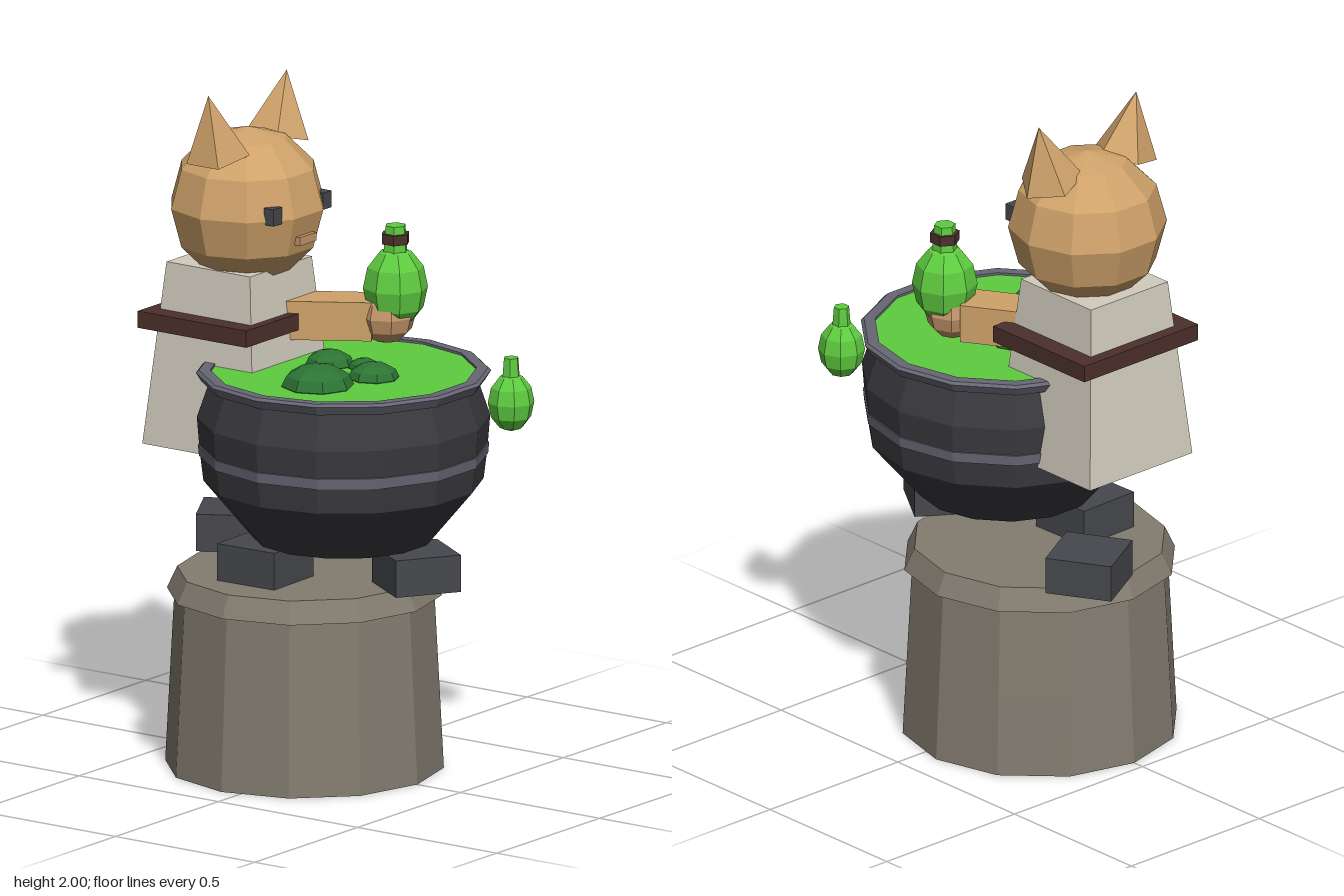
import * as THREE from 'three';

const mat = (name, color) => {
  const m = new THREE.MeshStandardMaterial({ color, flatShading: true });
  m.name = name;
  return m;
};

export function createModel() {
  const stone = mat('stone', 0x837c70);
  const iron = mat('dark iron', 0x3a393e);
  const steel = mat('rim grey', 0x666773);
  const slate = mat('slate', 0x47484d);
  const green = mat('bright green', 0x5fcc40);
  const leaf = mat('dark green', 0x2d7534);
  const fur = mat('fur', 0xcfa26a);
  const skin = mat('paw', 0xc4966a);
  const cloth = mat('cloth', 0xd2ccbe);
  const brown = mat('brown', 0x4c302b);

  const model = new THREE.Group();
  const add = (name, geo, material, x = 0, y = 0, z = 0, parent = model) => {
    const mesh = new THREE.Mesh(geo, material);
    mesh.name = name;
    mesh.position.set(x, y, z);
    parent.add(mesh);
    return mesh;
  };
  // Lathe whose first corner lies on +x; profile runs bottom to top
  const lathe = (points, sides) => new THREE.LatheGeometry(
    points.map(([r, y]) => new THREE.Vector2(r, y)), sides, Math.PI / 2);

  // Stone pedestal
  add('pedestal', lathe([[0, 0], [0.405, 0], [0.392, 0.25], [0.378, 0.515],
    [0.4, 0.515], [0.37, 0.58], [0, 0.58]], 12), stone, 0, 0, -0.06);

  // Blocks under the cauldron
  for (const [x, z, turn] of [[0.03, 0.32, -0.58], [0.118, -0.4, 0.52], [-0.15, -0.09, 0.03]]) {
    add('supportBlock', new THREE.BoxGeometry(0.2, 0.11, 0.2), slate, x, 0.635, z).rotation.y = turn;
  }

  // Cauldron with band, rim and brew
  const cauldron = new THREE.Group();
  cauldron.name = 'cauldron';
  cauldron.position.z = 0.08;
  model.add(cauldron);
  add('bowl', lathe([[0, 0.7], [0.262, 0.7], [0.405, 0.87], [0.416, 0.96],
    [0.424, 1.06], [0.388, 1.165], [0.38, 1.18]], 14), iron, 0, 0, 0, cauldron);
  add('band', lathe([[0.408, 0.943], [0.418, 0.945], [0.421, 0.977], [0.412, 0.979]], 14),
    steel, 0, 0, 0, cauldron);
  add('rim', lathe([[0.38, 1.165], [0.41, 1.165], [0.427, 1.192], [0.418, 1.2],
    [0.385, 1.2], [0.385, 1.17]], 14), steel, 0, 0, 0, cauldron);
  add('brew', new THREE.CylinderGeometry(0.388, 0.388, 0.02, 14, 1, false, Math.PI / 2),
    green, 0, 1.183, 0, cauldron);

  // Floating herbs
  for (const [x, z, r] of [[-0.18, 0.12, 0.106], [-0.01, 0.195, 0.075], [0.04, 0, 0.071],
    [0.065, 0.105, 0.046], [-0.125, 0.025, 0.043]]) {
    add('herb', new THREE.SphereGeometry(r, 8, 6), leaf, x, 1.195, z).scale.y = 0.58;
  }

  // Bottles
  const bottle = (name, x, y, z, r) => {
    const g = new THREE.Group();
    g.name = name;
    g.position.set(x, y, z);
    model.add(g);
    add('bottleBody', new THREE.SphereGeometry(r, 8, 6), green, 0, 0, 0, g).scale.y = 1.28;
    add('bottleNeck', new THREE.CylinderGeometry(r * 0.33, r * 0.4, r * 0.9, 6), green, 0, r * 1.5, 0, g);
    return g;
  };
  const held = bottle('heldBottle', 0.225, 1.4, 0.1, 0.095);
  add('cork', new THREE.CylinderGeometry(0.043, 0.043, 0.03, 6), brown, 0, 0.147, 0, held);
  bottle('hangingBottle', 0.3, 1.097, 0.46, 0.068);

  // Tapered robe and belt
  const H = Math.SQRT2;
  add('robe', new THREE.CylinderGeometry(0.15 * H, 0.2 * H, 0.54, 4, 1, false, Math.PI / 4),
    cloth, 0, 1.2, -0.295);
  add('belt', new THREE.BoxGeometry(0.445, 0.05, 0.39), brown, 0, 1.305, -0.3);

  // Outstretched arm and paw
  add('arm', new THREE.BoxGeometry(0.125, 0.115, 0.27), fur, 0.125, 1.308, -0.073).rotation.y = 0.56;
  add('paw', new THREE.SphereGeometry(0.083, 8, 6), skin, 0.21, 1.317, 0.082);

  // Head with ears, eyes and muzzle
  add('head', new THREE.SphereGeometry(0.231, 10, 6), fur, 0, 1.64, -0.265);
  for (const side of [-1, 1]) {
    const ear = new THREE.ConeGeometry(0.097, 0.192, 5, 1, false, Math.PI / 2);
    ear.translate(0, 0.096, 0);
    add('ear', ear, fur, side * 0.143, 1.814, -0.265).rotation.z = -side * 0.25;
    add('eye', new THREE.BoxGeometry(0.04, 0.05, 0.035), slate, side * 0.12, 1.655, -0.085);
  }
  add('muzzle', new THREE.BoxGeometry(0.08, 0.025, 0.03), skin, 0, 1.567, -0.062);

  return model;
}
